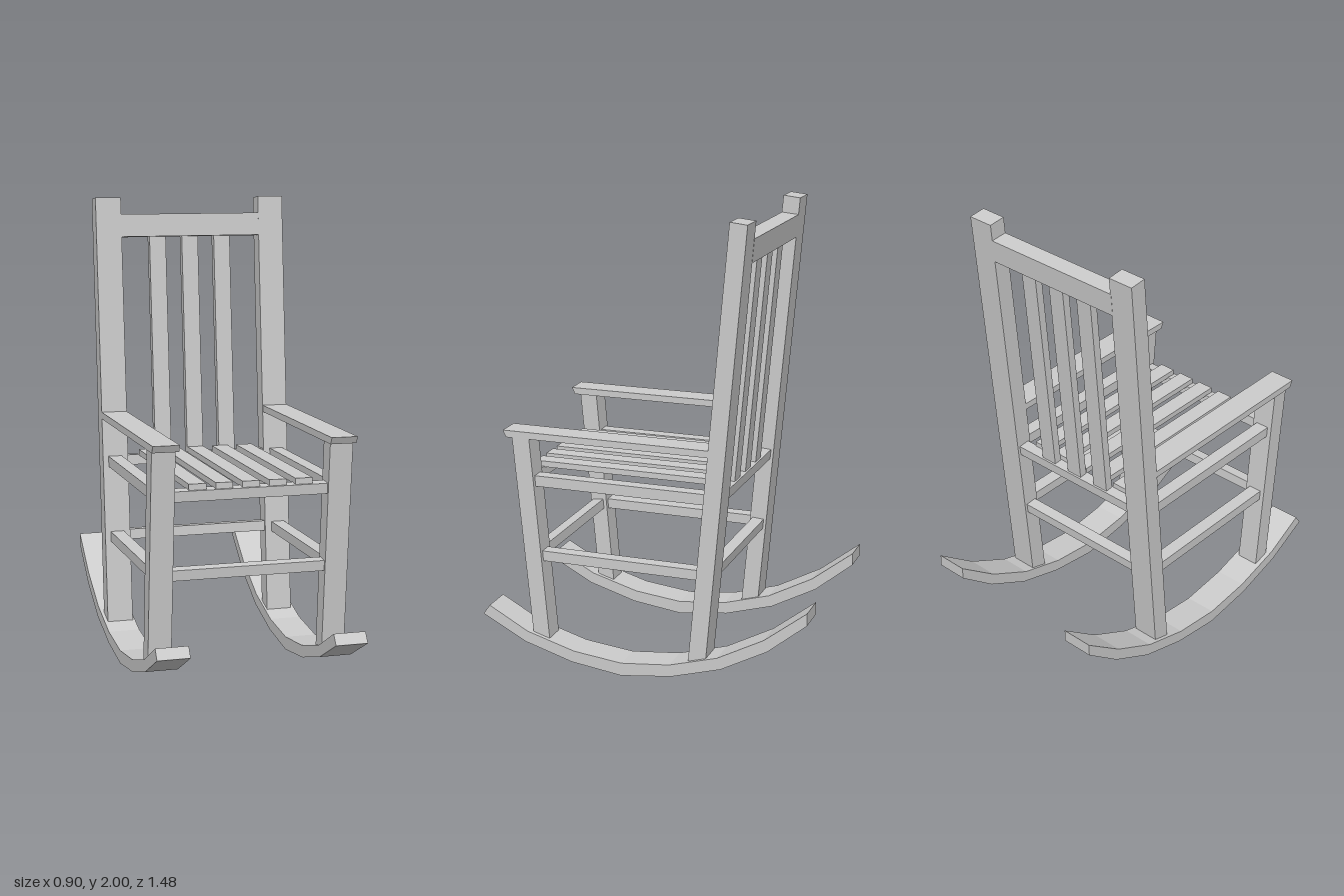
import * as THREE from 'three';

const material = new THREE.MeshStandardMaterial({ color: 0xcccccc, flatShading: true });

// Centre line of the leaning posts: z at a given height
const BACK_LEAN = -0.0894, FRONT_LEAN = 0.0914;
const backZ = y => -0.25 + BACK_LEAN * (y - 0.115);
const frontZ = y => 0.473 + FRONT_LEAN * (y - 0.13);

export function createModel() {
  const chair = new THREE.Group();
  chair.name = 'rockingChair';

  const add = (name, geometry) => {
    const mesh = new THREE.Mesh(geometry, material);
    mesh.name = name;
    chair.add(mesh);
    return mesh;
  };

  // Side profile of [z, y] points, extruded across x from x0 to x1
  const profile = (name, points, x0, x1) => {
    const shape = new THREE.Shape(points.map(([z, y]) => new THREE.Vector2(z, y)));
    const geometry = new THREE.ExtrudeGeometry(shape, { depth: x1 - x0, bevelEnabled: false });
    geometry.rotateY(-Math.PI / 2).translate(x1, 0, 0);
    return add(name, geometry);
  };

  // Box, optionally leaning forward or back
  const bar = (name, w, h, d, x, y, z, lean = 0) => {
    const mesh = add(name, new THREE.BoxGeometry(w, h, d));
    mesh.position.set(x, y, z);
    mesh.rotation.x = Math.atan(lean);
    return mesh;
  };

  // The same profile on both sides
  const pair = (name, points, x0, x1) => {
    profile('left' + name, points, x0, x1);
    profile('right' + name, points, -x1, -x0);
  };

  // Curved rockers
  pair('Rocker', [
    [0.74, 0.2], [0.54, 0.095], [0.32, 0.03], [0.09, 0], [-0.14, 0.03],
    [-0.36, 0.095], [-0.565, 0.205], [-0.735, 0.345], [-0.735, 0.4],
    [-0.55, 0.255], [-0.345, 0.145], [-0.13, 0.082], [0.09, 0.058],
    [0.31, 0.082], [0.53, 0.145], [0.71, 0.243],
  ], 0.31, 0.45);

  // Posts and armrests
  pair('BackPost', [[-0.21, 0.1], [-0.29, 0.125], [-0.455, 1.992], [-0.38, 2]], 0.32, 0.435);
  pair('FrontPost', [[0.51, 0.14], [0.433, 0.112], [0.511, 1.02], [0.59, 1.02]], 0.33, 0.43);
  pair('Armrest', [[0.615, 1.02], [-0.3, 1.02], [-0.3, 1.05], [0.63, 1.05]], 0.322, 0.435);

  // Side rails, running from post to post
  for (const [name, y0, y1] of [['SeatSideRail', 0.805, 0.852], ['LowerSideRail', 0.468, 0.513]]) {
    pair(name, [
      [frontZ(y0), y0], [backZ(y0), y0], [backZ(y1), y1], [frontZ(y1), y1],
    ], 0.35, 0.41);
  }

  // Cross rails at the front and the back
  for (const [name, y] of [['SeatRail', 0.827], ['LowerRail', 0.491]]) {
    bar('front' + name, 0.67, 0.045, 0.05, 0, y, frontZ(y), FRONT_LEAN);
    bar('back' + name, 0.65, 0.045, 0.052, 0, y, backZ(y), BACK_LEAN);
  }
  bar('topRail', 0.65, 0.1, 0.076, 0, 1.873, backZ(1.873), BACK_LEAN);

  // Seat slats
  for (let i = -2; i <= 2; i++) {
    bar('seatSlat', 0.074, 0.026, 0.85, i * 0.1145, 0.861, 0.13);
  }

  // Back slats
  for (let i = -1; i <= 1; i++) {
    bar('backSlat', 0.075, 0.99, 0.035, i * 0.15, 1.335, backZ(1.335), BACK_LEAN);
  }
  return chair;
}
